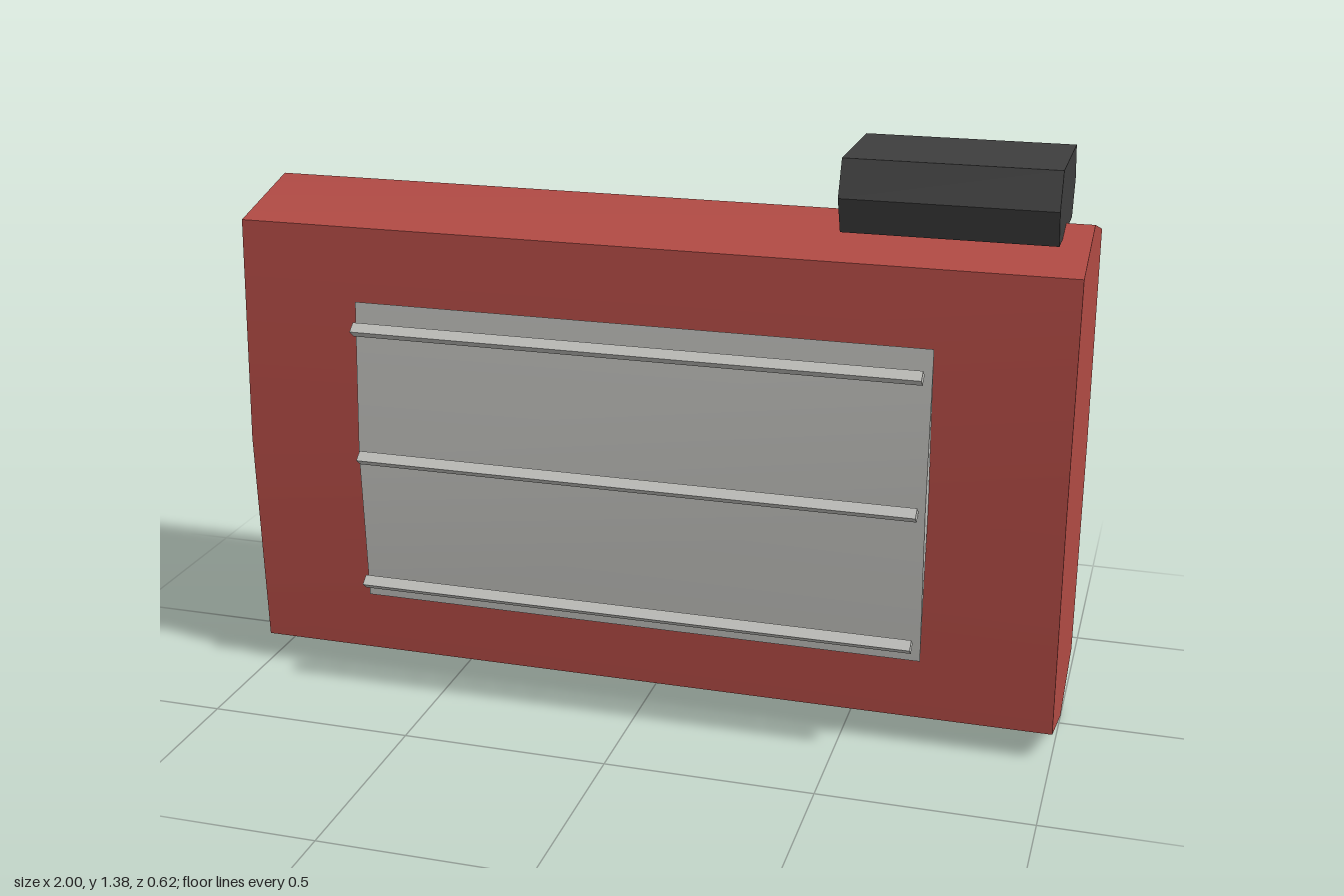
import * as THREE from 'three';
import { toCreasedNormals } from 'three/addons/utils/BufferGeometryUtils.js';

const material = (name, color) => {
  const m = new THREE.MeshStandardMaterial({ color });
  m.name = name;
  return m;
};

// Prism running along x from x0 to x1, with a cross-section of [z, y] points.
function prism(name, x0, x1, section, mat) {
  const shape = new THREE.Shape(section.map(([z, y]) => new THREE.Vector2(-z, y)));
  const extruded = new THREE.ExtrudeGeometry(shape, { depth: x1 - x0, bevelEnabled: false });
  extruded.rotateY(Math.PI / 2).translate(x0, 0, 0);
  const mesh = new THREE.Mesh(toCreasedNormals(extruded, THREE.MathUtils.degToRad(38)), mat);
  mesh.name = name;
  return mesh;
}

export function createModel() {
  const red = material('red', 0xb04a44);
  const grey = material('light grey', 0xbcbcb8);
  const dark = material('charcoal', 0x3e3e3e);
  const model = new THREE.Group();
  model.name = 'boxUnit';

  // Main case with bulging sides and ridged top and bottom
  model.add(prism('body', -1, 1, [
    [0.2, 0.07], [-0.04, 0], [-0.28, 0.07], [-0.31, 0.615],
    [-0.28, 1.165], [-0.04, 1.23], [0.2, 1.165], [0.225, 0.615],
  ], red));

  // Dark hexagonal cap on the top
  model.add(prism('topCap', 0.445, 0.935, [
    [0.105, 1.21], [-0.19, 1.21], [-0.225, 1.295],
    [-0.19, 1.38], [0.105, 1.38], [0.14, 1.295],
  ], dark));

  // Thin lens-shaped panel standing off the front
  model.add(prism('frontPanel', -0.693, 0.69, [
    [0.244, 0.237], [0.223, 0.617], [0.244, 0.995], [0.266, 0.617],
  ], grey));

  // Three diamond-section rails floating ahead of the panel
  const rails = new THREE.Group();
  rails.name = 'rails';
  for (const y of [0.293, 0.618, 0.941]) {
    rails.add(prism('rail', -0.68, 0.675, [
      [0.29, y - 0.017], [0.268, y], [0.29, y + 0.017], [0.312, y],
    ], grey));
  }
  model.add(rails);
  return model;
}
